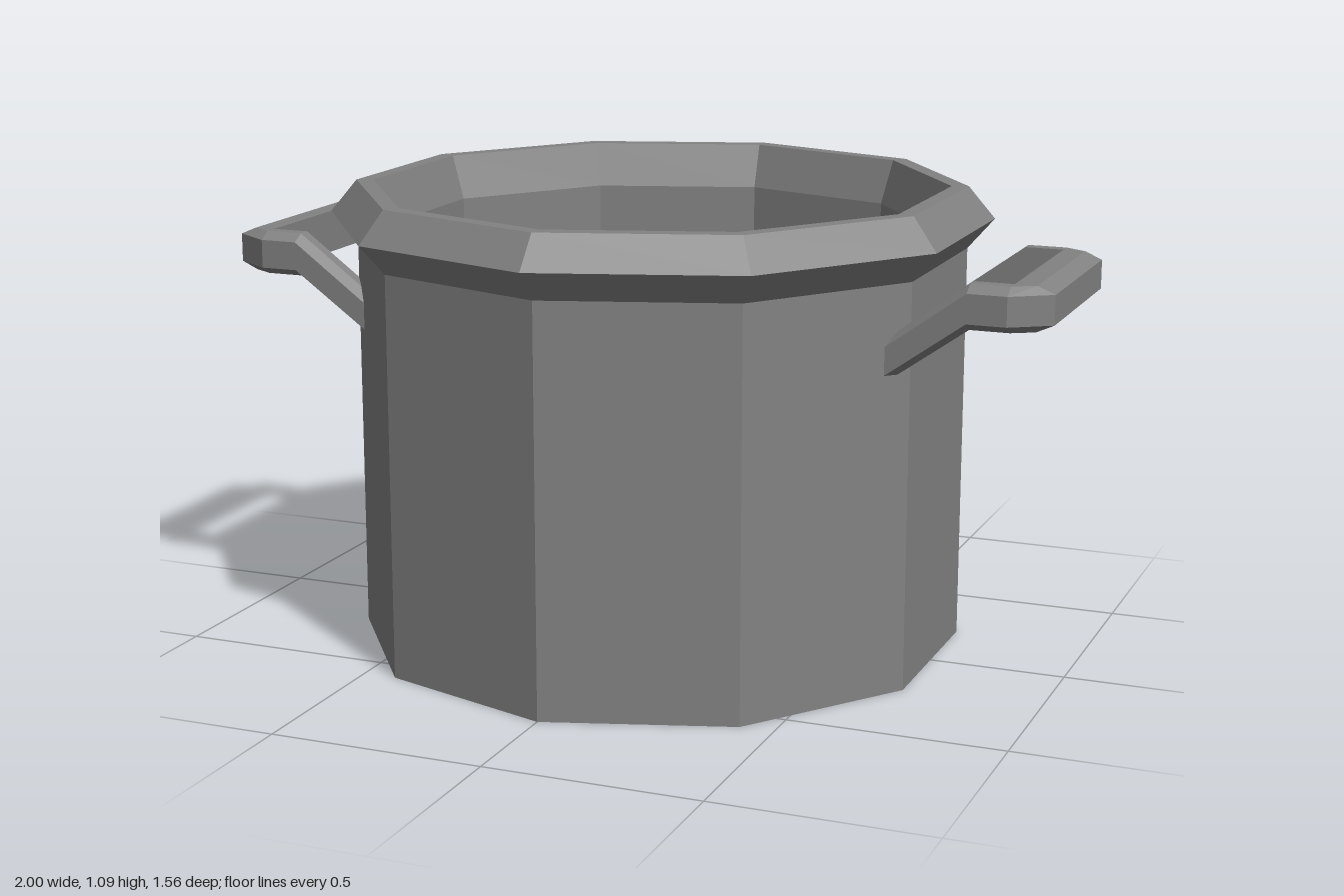
import * as THREE from 'three';

const material = new THREE.MeshStandardMaterial({ color: 0x828282, flatShading: true });

// Faceted loft through equal-length rings of [x, y, z], closed with end caps
function loft(rings) {
  const n = rings[0].length;
  const last = (rings.length - 1) * n;
  const index = [];
  for (let i = 0; i < rings.length - 1; i++) {
    for (let j = 0; j < n; j++) {
      const a = i * n + j, c = i * n + (j + 1) % n;
      index.push(a, c, a + n, c, c + n, a + n);
    }
  }
  for (let j = 1; j < n - 1; j++) {
    index.push(0, j + 1, j, last, last + j, last + j + 1);
  }
  const indexed = new THREE.BufferGeometry();
  indexed.setAttribute('position', new THREE.Float32BufferAttribute(rings.flat(2), 3));
  indexed.setIndex(index);
  const geometry = indexed.toNonIndexed();
  geometry.computeVertexNormals();
  return geometry;
}

// Bevelled U-shaped handle on the +x side
function handleGeometry() {
  const across = [0, 1, 2, 2, 1, 0]; // inner, middle and outer edge of the section
  const legZ = [0.22, 0.25, 0.28];
  const gripX = [0.91, 0.96, 1.0];
  const flatY = [0.952, 0.952, 0.935, 0.868, 0.85, 0.85];
  const rootY = [0.82, 0.82, 0.803, 0.739, 0.722, 0.722];
  const leg = (x, ys) => across.map((k, j) => [x, ys[j], legZ[k]]);
  const corner = across.map((k, j) => [gripX[k], flatY[j], 0.22]);
  const half = [leg(0.64, rootY), leg(0.82, flatY), leg(0.91, flatY), corner];
  const mirrored = half.map(ring => ring.map(([x, y, z]) => [x, y, -z])).reverse();
  return loft([...half, ...mirrored]);
}

export function createModel() {
  const group = new THREE.Group();

  // Ten-sided pot: base, outer wall, flared rim, inner chamfer, inner wall, floor
  const profile = [
    [0, 0], [0.717, 0], [0.717, 0.94], [0.779, 1.01], [0.717, 1.085],
    [0.677, 1.085], [0.642, 0.98], [0.642, 0.05], [0, 0.05],
  ].map(([r, y]) => new THREE.Vector2(r, y));
  const pot = new THREE.Mesh(new THREE.LatheGeometry(profile, 10), material);
  pot.name = 'pot';
  group.add(pot);

  // Two side handles
  const geometry = handleGeometry();
  for (const [name, turn] of [['leftHandle', 0], ['rightHandle', Math.PI]]) {
    const handle = new THREE.Mesh(geometry, material);
    handle.name = name;
    handle.rotation.y = turn;
    group.add(handle);
  }
  return group;
}
